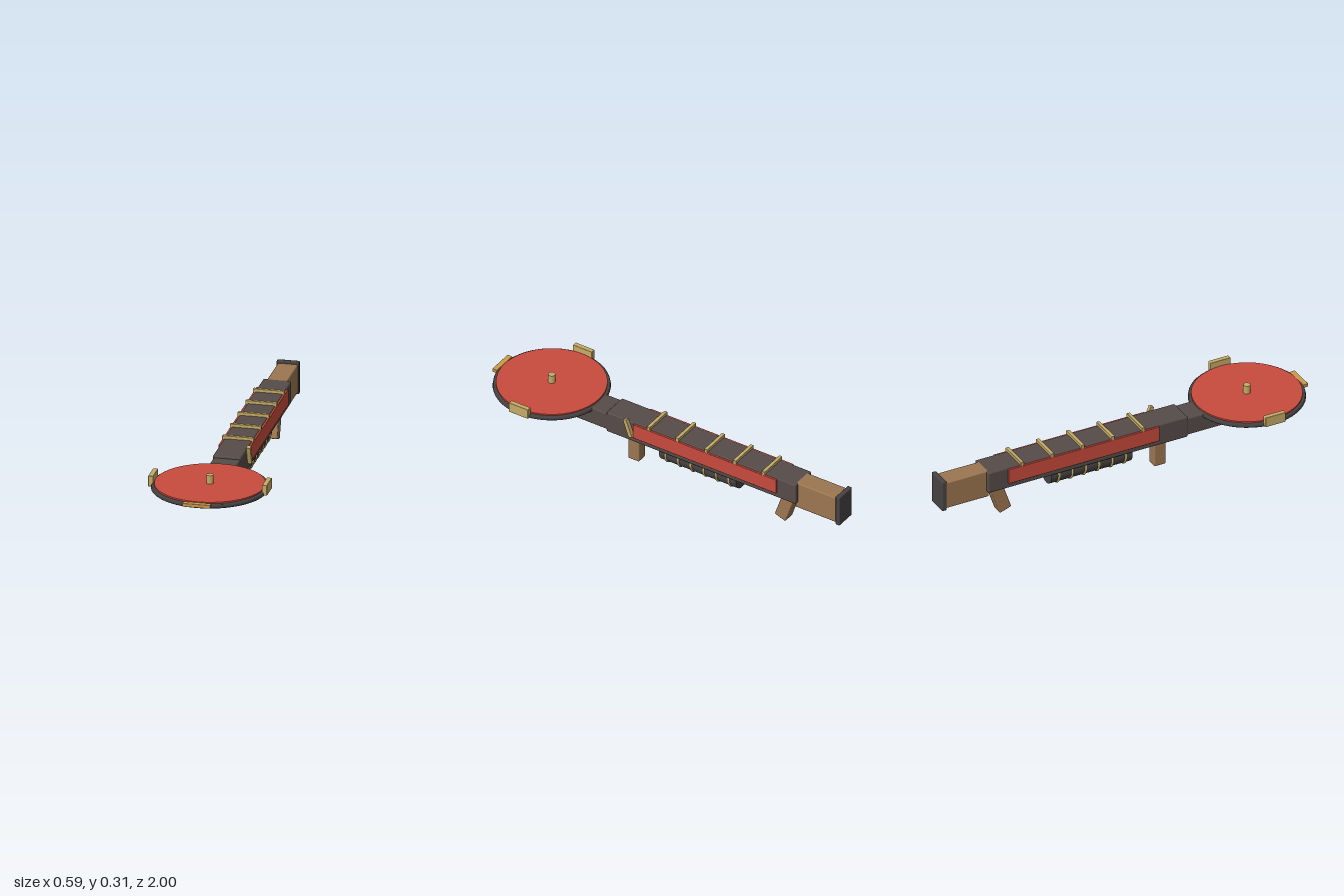
import * as THREE from 'three';
import { RoundedBoxGeometry } from 'three/addons/geometries/RoundedBoxGeometry.js';

const paint = (name, color) => {
  const m = new THREE.MeshStandardMaterial({ color });
  m.name = name;
  return m;
};

export function createModel() {
  const body = paint('dark brown metal', 0x564c49);
  const iron = paint('dark iron', 0x484343);
  const red = paint('red enamel', 0xc84b3d);
  const wood = paint('wood', 0x9c7651);
  const brass = paint('brass', 0xc5ab66);
  const amber = paint('amber brass', 0xcb9a4c);

  const model = new THREE.Group();
  model.name = 'discLauncher';

  const add = (name, geometry, material, x = 0, y = 0, z = 0, tilt = 0) => {
    const mesh = new THREE.Mesh(geometry, material);
    mesh.name = name;
    mesh.position.set(x, y, z);
    mesh.rotation.x = tilt;
    model.add(mesh);
    return mesh;
  };
  // Box given by its limits on each axis, with softly bevelled edges
  const block = (name, material, [x0, x1], [y0, y1], [z0, z1], r = 0.004) =>
    add(name, new RoundedBoxGeometry(x1 - x0, y1 - y0, z1 - z0, 2, r), material,
      (x0 + x1) / 2, (y0 + y1) / 2, (z0 + z1) / 2);

  // Receiver, front section, stock and butt plate
  block('receiver', body, [-0.07, 0.07], [0.158, 0.273], [-0.755, 0.34], 0.008);
  block('frontSection', body, [-0.067, 0.067], [0.167, 0.262], [0.3, 0.568], 0.008);
  block('stock', wood, [-0.05, 0.05], [0.128, 0.273], [-0.985, -0.74], 0.006);
  block('buttPlate', iron, [-0.056, 0.056], [0.12, 0.286], [-1, -0.975], 0.006);

  // Red side panels
  for (const s of [-1, 1]) {
    block('sidePanel', red, s > 0 ? [0.06, 0.079] : [-0.079, -0.06], [0.187, 0.268], [-0.648, 0.18], 0.003);
  }

  // Brass bars across the top
  for (let i = 0; i < 5; i++) {
    const z = -0.573 + i * 0.166;
    block('topBar', brass, [-0.078, 0.078], [0.264, 0.288], [z - 0.009, z + 0.009], 0.002);
  }

  // Tilted lever on the left side
  add('lever', new RoundedBoxGeometry(0.022, 0.1, 0.022, 2, 0.003), brass, 0.081, 0.24, 0.203, 0.35);

  // Underslung tube with brass rings
  const tube = new THREE.CylinderGeometry(0.054, 0.054, 0.445, 24).rotateX(Math.PI / 2);
  add('underTube', tube, iron, 0, 0.134, -0.178);
  const ring = new THREE.TorusGeometry(0.054, 0.006, 8, 24);
  for (let i = 0; i < 6; i++) add('tubeRing', ring, brass, 0, 0.134, 0.008 - i * 0.073);

  // Grips and trigger guard
  block('frontGrip', wood, [-0.028, 0.028], [0.012, 0.18], [0.178, 0.241], 0.006);
  add('rearGrip', new RoundedBoxGeometry(0.064, 0.17, 0.066, 2, 0.006), wood, 0, 0.091, -0.666, -0.33);
  block('triggerGuard', iron, [-0.015, 0.015], [0.134, 0.146], [-0.62, -0.507], 0.003);

  // Disc: bevelled dark rim and red face
  const rim = new THREE.LatheGeometry(
    [[0, 0.241], [0.281, 0.241], [0.286, 0.246], [0.284, 0.258], [0.28, 0.262], [0, 0.262]]
      .map(([r, y]) => new THREE.Vector2(r, y)), 48);
  add('discRim', rim, iron, 0, 0, 0.7);
  add('discFace', new THREE.CylinderGeometry(0.27, 0.27, 0.012, 48), red, 0, 0.263, 0.7);
  add('discHub', new THREE.CylinderGeometry(0.018, 0.018, 0.05, 12), brass, 0, 0.287, 0.7);

  // Clamps on the disc rim
  block('leftClamp', brass, [0.27, 0.295], [0.246, 0.3], [0.645, 0.755], 0.003);
  block('rightClamp', brass, [-0.295, -0.27], [0.246, 0.3], [0.645, 0.755], 0.003);
  block('frontClamp', amber, [-0.069, 0.069], [0.249, 0.267], [0.972, 1], 0.003);

  return model;
}
